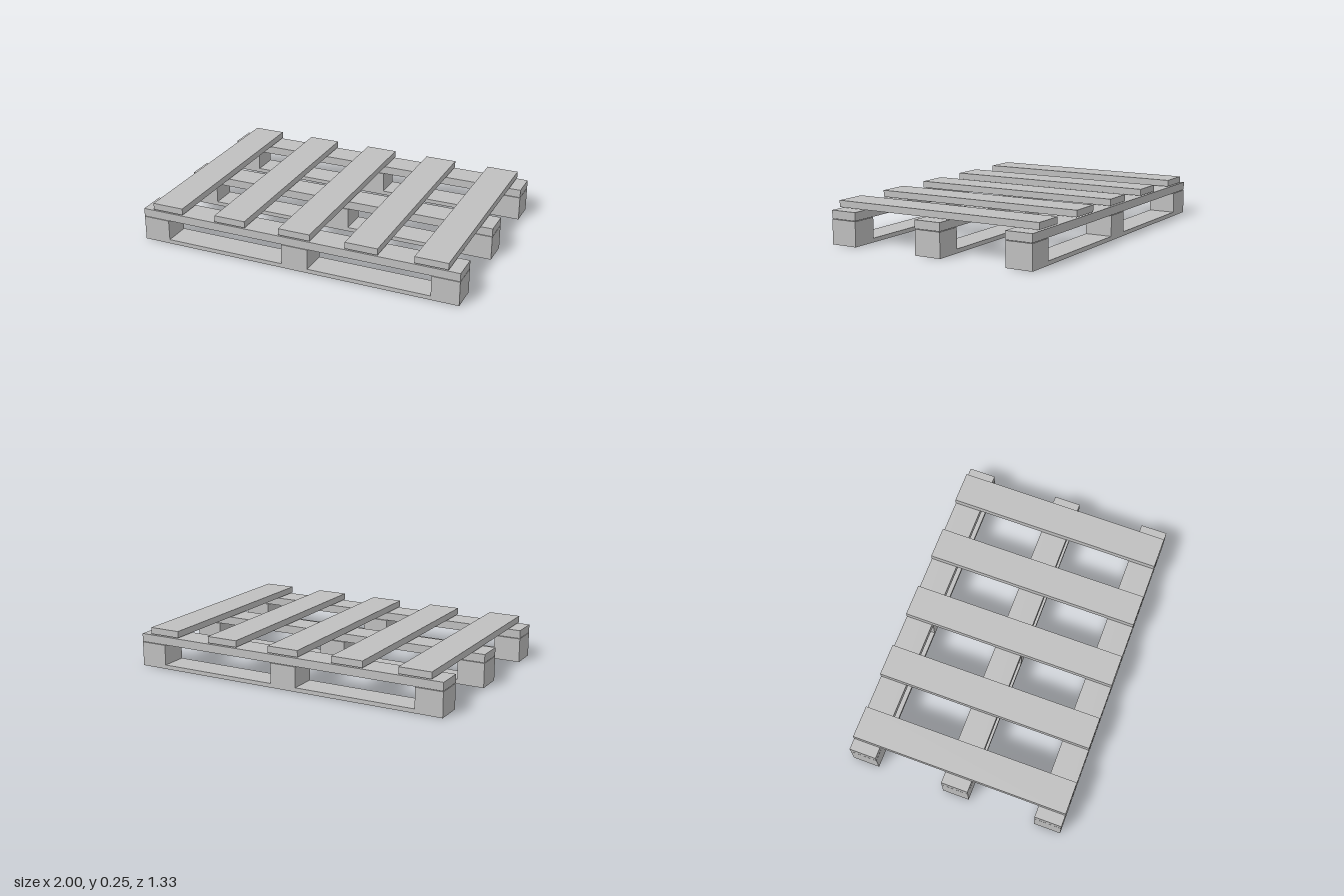
import * as THREE from 'three';

export function createModel() {
  const pallet = new THREE.Group();
  pallet.name = 'pallet';
  const wood = new THREE.MeshStandardMaterial({ color: 0xbfbfbf });
  wood.name = 'plain grey';

  const add = (geometry, name, x, y, z) => {
    const mesh = new THREE.Mesh(geometry, wood);
    mesh.name = name;
    mesh.position.set(x, y, z);
    pallet.add(mesh);
  };

  // Runner profile: a thin bottom board with three blocks standing on it
  const width = 0.166, floor = 0.025, top = 0.149;
  const profile = new THREE.Shape([
    [-1, 0], [1, 0], [1, top], [0.834, top], [0.834, floor],
    [0.083, floor], [0.083, top], [-0.083, top], [-0.083, floor],
    [-0.834, floor], [-0.834, top], [-1, top],
  ].map(([x, y]) => new THREE.Vector2(x, y)));
  const runner = new THREE.ExtrudeGeometry(profile, { depth: width, bevelEnabled: false });
  runner.translate(0, 0, -width / 2);

  // Three runners, each carrying a full-length stringer board
  const stringer = new THREE.BoxGeometry(2, 0.05, width);
  for (const z of [-0.584, 0, 0.584]) {
    add(runner, 'runner', 0, 0, z);
    add(stringer, 'stringerBoard', 0, 0.177, z);
  }

  // Five deck slats across the top
  const slat = new THREE.BoxGeometry(0.198, 0.04, 1.334);
  for (let i = -2; i <= 2; i++) add(slat, 'deckSlat', i * 0.416, 0.229, 0);

  return pallet;
}
